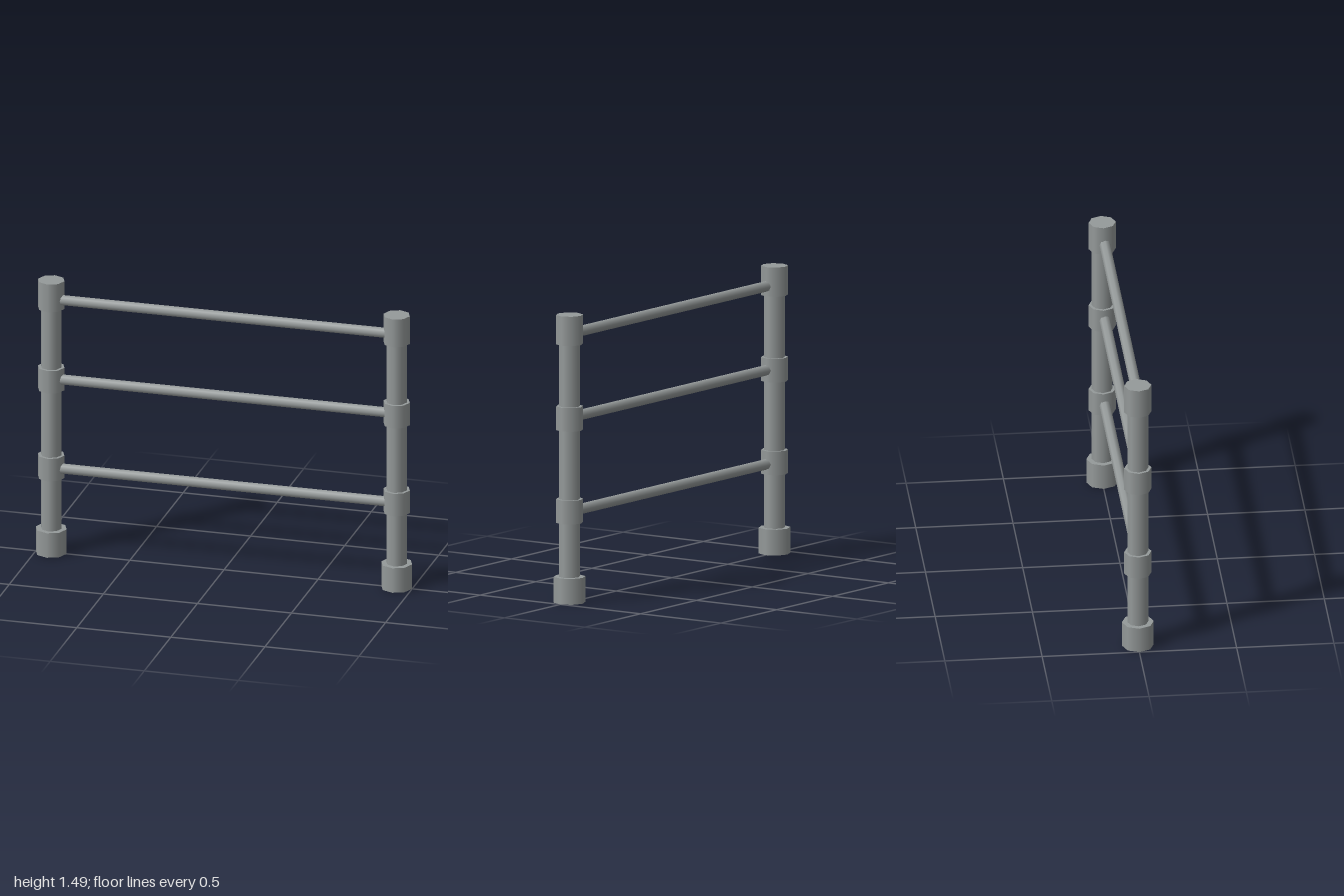
import * as THREE from 'three';

const SIDES = 8;
const POST_X = 0.918;
const FOOT_RADIUS = 0.082;
const FOOT_TOP = 0.134;

export function createModel() {
  const model = new THREE.Group();
  model.name = 'railing';
  const metal = new THREE.MeshStandardMaterial({ color: 0x959a9a, side: THREE.DoubleSide });

  // Upright octagonal section between two heights
  const section = (name, radius, y0, y1, open = false) => {
    const mesh = new THREE.Mesh(new THREE.CylinderGeometry(radius, radius, y1 - y0, SIDES, 1, open), metal);
    mesh.name = name;
    mesh.position.y = (y0 + y1) / 2;
    return mesh;
  };

  // Two posts with hollow foot, rail collars and top cap
  for (const [name, side] of [['leftPost', 1], ['rightPost', -1]]) {
    const post = new THREE.Group();
    post.name = name;
    post.position.x = side * POST_X;

    // Lid closing the top of the foot, which is open underneath
    const footLid = new THREE.Mesh(new THREE.CircleGeometry(FOOT_RADIUS, SIDES), metal);
    footLid.name = 'footLid';
    footLid.rotation.x = -Math.PI / 2;
    footLid.position.y = FOOT_TOP;

    post.add(
      section('shaft', 0.054, FOOT_TOP, 1.45),
      section('foot', FOOT_RADIUS, 0, FOOT_TOP, true),
      footLid,
      section('lowerCollar', 0.07, 0.414, 0.537),
      section('middleCollar', 0.07, 0.895, 1.018),
      section('topCap', 0.07, 1.34, 1.492),
    );
    model.add(post);
  }

  // Horizontal rails running into the collars
  for (const [name, y] of [['lowerRail', 0.468], ['middleRail', 0.956], ['topRail', 1.391]]) {
    const rail = new THREE.Mesh(new THREE.CylinderGeometry(0.028, 0.028, 1.74, SIDES), metal);
    rail.name = name;
    rail.rotation.z = Math.PI / 2;
    rail.position.set(0, y, 0.008);
    model.add(rail);
  }
  return model;
}
